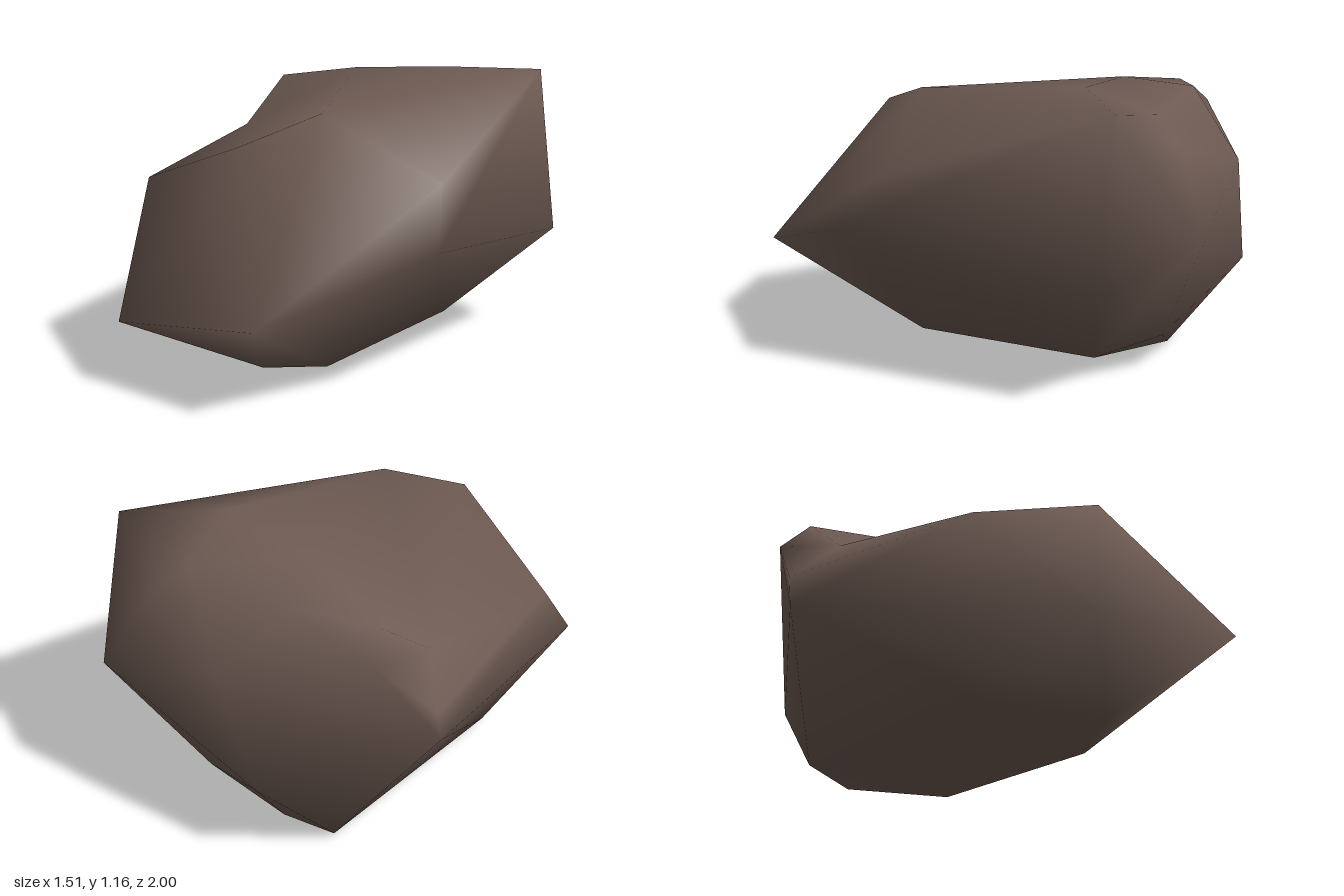
import * as THREE from 'three';
import { ConvexGeometry } from 'three/addons/geometries/ConvexGeometry.js';
import { mergeVertices } from 'three/addons/utils/BufferGeometryUtils.js';

// Corner points of the boulder, grouped by region.
// A fourth number marks a dent: the corner joins the hull at y + dent, then is pressed back to y.
const corners = {
  crown: [
    [0.67, 1.14, -0.66], [0.31, 1.16, -0.45], [-0.12, 1.125, -0.5], [-0.23, 1.08, -0.77],
    [-0.54, 1.045, -0.65], [0.06, 1.065, 0.31], [-0.19, 0.955, 0.55], [0.28, 1.065, -0.73, 0.065],
  ],
  back: [
    [0.53, 0.655, -0.975], [0.38, 0.965, -0.84], [-0.05, 0.83, -0.995],
    [-0.22, 0.37, -1], [-0.6, 0.95, -0.76], [0.2, 0.145, -0.755],
  ],
  leftFlank: [[0.755, 0.45, -0.63], [0.555, 0.82, 0.285], [0.61, 0.59, 0.48]],
  rightFlank: [
    [-0.76, 0.56, -0.55], [-0.752, 0.69, -0.57], [-0.73, 0.74, 0.3], [-0.62, 0.85, -0.42, 0.16],
  ],
  front: [[0.07, 0.36, 1], [-0.62, 0.26, 0.775]],
  base: [
    [0.3, 0.055, -0.5, -0.13], [0.08, 0.02, 0.31], [-0.11, 0.055, 0.52],
    [-0.51, 0.055, 0.22], [-0.38, 0.03, -0.72], [-0.13, 0, -0.71],
  ],
};

// Hull with welded corners, dented where marked, shaded smooth
function boulderGeometry() {
  const points = Object.values(corners).flat().map(([x, y, z, dent = 0]) => ({
    y, dent, hull: new THREE.Vector3(x, y + dent, z),
  }));
  const hull = new ConvexGeometry(points.map((p) => p.hull));
  hull.deleteAttribute('normal');
  const geometry = mergeVertices(hull, 1e-4);

  const position = geometry.attributes.position;
  const v = new THREE.Vector3();
  for (const p of points.filter((q) => q.dent !== 0)) {
    for (let i = 0; i < position.count; i++) {
      v.fromBufferAttribute(position, i);
      if (v.distanceTo(p.hull) < 1e-3) position.setY(i, p.y);
    }
  }
  geometry.computeVertexNormals();
  return geometry;
}

export function createModel() {
  const group = new THREE.Group();
  group.name = 'rock';

  const stone = new THREE.MeshStandardMaterial({ color: 0x6d5a52 });
  stone.name = 'brown stone';

  const boulder = new THREE.Mesh(boulderGeometry(), stone);
  boulder.name = 'boulder';
  group.add(boulder);
  return group;
}
